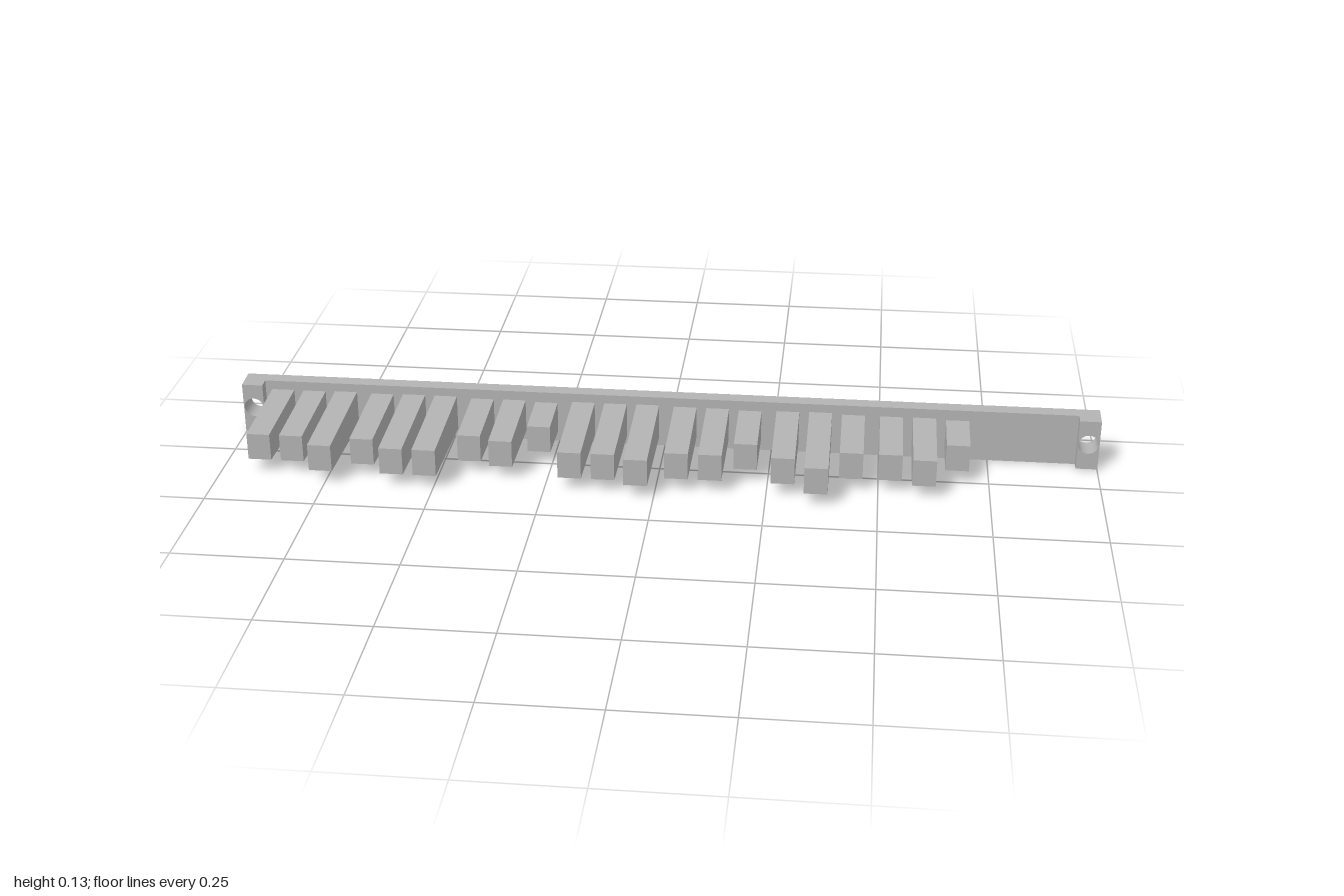
import * as THREE from 'three';

const MID_Y = 0.0635;       // height of the bar's centre line
const BACK_Z = -0.149;      // rear face
const PLATE_Z = -0.118;     // front face of the plate
const BLOCK_Z = -0.092;     // front face of the end blocks
const HOLE_X = 0.975;

// Half height of the bar at depth z: it narrows slightly towards the front
const barHalf = (z) => 0.0635 - 0.06 * (z - BACK_Z);

// Drafted slab from z0 to z1 with round holes through it
function drilledSlab(x0, x1, z0, z1, holeXs) {
  const h = barHalf(BACK_Z);
  const shape = new THREE.Shape([
    new THREE.Vector2(x0, -h), new THREE.Vector2(x1, -h),
    new THREE.Vector2(x1, h), new THREE.Vector2(x0, h),
  ]);
  for (const x of holeXs) {
    shape.holes.push(new THREE.Path().absarc(x, 0.002, 0.023, 0, Math.PI * 2, true));
  }
  const geo = new THREE.ExtrudeGeometry(shape, { depth: z1 - z0, bevelEnabled: false, curveSegments: 24 });
  geo.translate(0, 0, z0);
  const p = geo.attributes.position;
  for (let i = 0; i < p.count; i++) {
    if (Math.abs(p.getY(i)) > 0.05) p.setY(i, Math.sign(p.getY(i)) * barHalf(p.getZ(i)));
  }
  geo.translate(0, MID_Y, 0);
  geo.computeVertexNormals();
  return geo;
}

// Tooth with a fixed tip height that thickens towards its root
function toothGeometry(tipZ) {
  const length = tipZ - PLATE_Z;
  const geo = new THREE.BoxGeometry(0.053, 2, length).toNonIndexed();
  geo.translate(0, 0, PLATE_Z + length / 2);
  const p = geo.attributes.position;
  for (let i = 0; i < p.count; i++) {
    p.setY(i, MID_Y + p.getY(i) * (0.0315 + 0.037 * (tipZ - p.getZ(i))));
  }
  geo.computeVertexNormals();
  return geo;
}

export function createModel() {
  const model = new THREE.Group();
  model.name = 'toothedBar';
  const grey = new THREE.MeshStandardMaterial({ color: 0xb2b2b2 });
  grey.name = 'plainGrey';

  const add = (name, geo) => {
    const mesh = new THREE.Mesh(geo, grey);
    mesh.name = name;
    model.add(mesh);
    return mesh;
  };

  // Long back plate with a mounting hole at each end
  add('backPlate', drilledSlab(-1, 1, BACK_Z, PLATE_Z, [-HOLE_X, HOLE_X]));

  // Raised mounting blocks
  add('rightEndBlock', drilledSlab(-1, -0.951, PLATE_Z, BLOCK_Z, [-HOLE_X]));
  add('leftEndBlock', drilledSlab(0.951, 1, PLATE_Z, BLOCK_Z, [HOLE_X]));

  // Seven groups of three teeth, each cut to one of eight depths
  const depths = [
    [5, 5, 7], [5, 7, 7], [3, 4, 0], [6, 6, 7], [5, 5, 2], [5, 7, 3], [3, 4, 0],
  ];
  depths.forEach((group, g) => {
    group.forEach((level, t) => {
      const tooth = add(`tooth${g * 3 + t + 1}`, toothGeometry(0.004 + 0.0208 * level));
      tooth.position.x = -0.833 + 0.239 * g + 0.0757 * (t - 1);
    });
  });

  return model;
}
